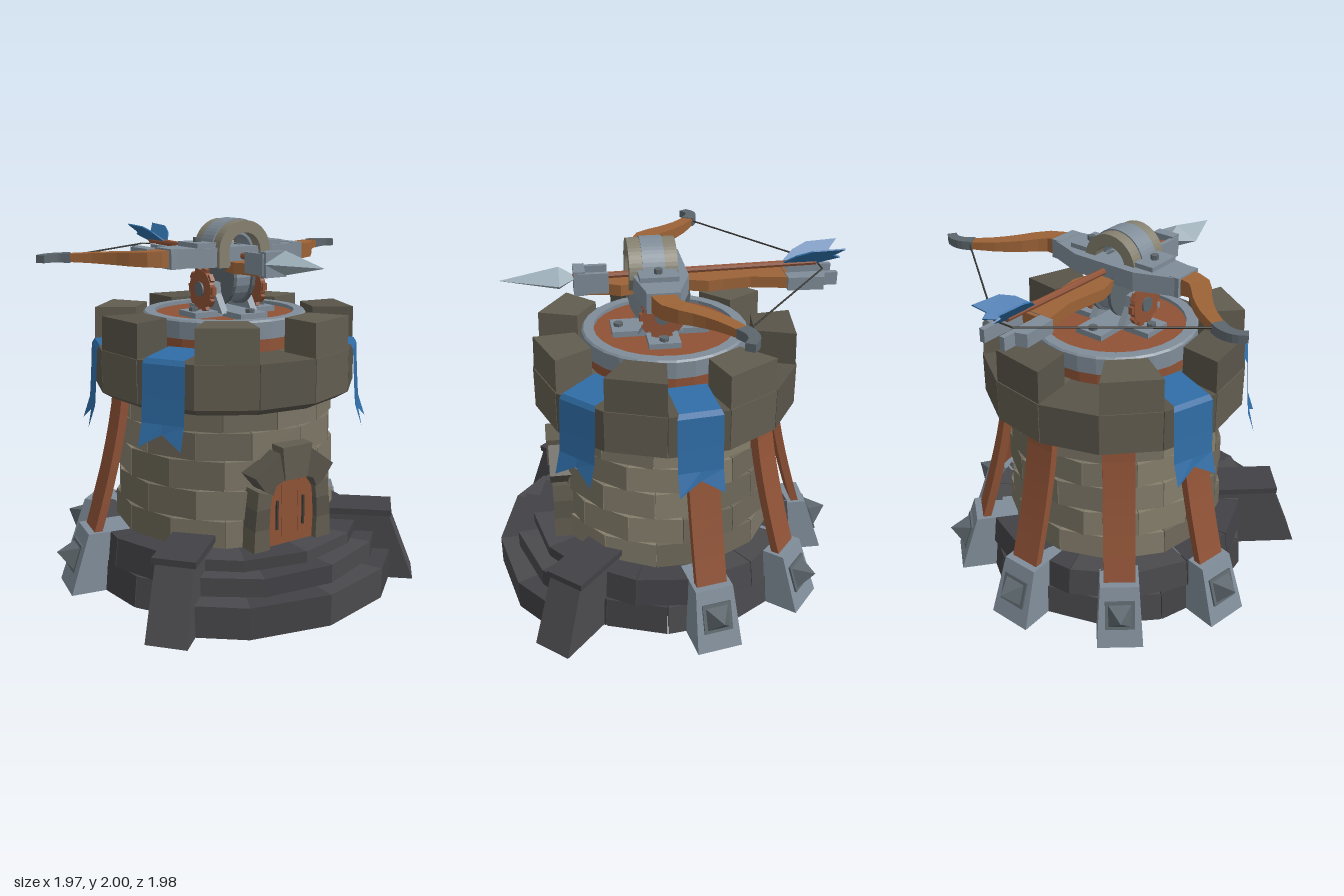
import * as THREE from 'three';

const mat = (color, side = THREE.FrontSide) => new THREE.MeshStandardMaterial({ color, side, flatShading: true });
const walls = [0x7a7464, 0x6e6859, 0x857e6c].map((c) => mat(c));
const rims = [0x625d50, 0x58544a].map((c) => mat(c));
const darks = [0x4a4a4e, 0x424246].map((c) => mat(c));
const metal = mat(0x7f8c98), paleMetal = mat(0x9fb0ba), steel = mat(0x5c666c), archStone = mat(0x85806f);
const wood = mat(0x9c6337), redWood = mat(0x8f5236), cloth = mat(0x2f6da6, THREE.DoubleSide), cord = mat(0x3c3a36);
const rad = THREE.MathUtils.degToRad;

function add(parent, name, geo, material, x = 0, y = 0, z = 0) {
  const m = new THREE.Mesh(geo, material);
  m.name = name;
  m.position.set(x, y, z);
  parent.add(m);
  return m;
}
const box = (p, name, m, w, h, d, x, y, z) => add(p, name, new THREE.BoxGeometry(w, h, d), m, x, y, z);

// moves every vertex by a rule, then renews the normals
function warp(geo, rule) {
  const p = geo.attributes.position;
  for (let i = 0; i < p.count; i++) p.setXYZ(i, ...rule(p.getX(i), p.getY(i), p.getZ(i)));
  geo.computeVertexNormals();
  return geo;
}
// ring block between two angles (degrees from the front), radii and heights
function sector(a0, a1, y0, y1, rIn, rBottom, rTop = rBottom) {
  return warp(new THREE.BoxGeometry(1, 1, 1), (x, y, z) => {
    const a = rad(x < 0 ? a0 : a1), r = z < 0 ? rIn : y < 0 ? rBottom : rTop;
    return [r * Math.sin(a), y < 0 ? y0 : y1, r * Math.cos(a)];
  });
}
function ring(parent, name, mats, n, offset, gap, ...dims) {
  const s = 360 / n;
  for (let i = 0; i < n; i++) add(parent, name, sector(offset + i * s + gap, offset + (i + 1) * s - gap, ...dims), mats[(i * 5 + (i >> 1)) % mats.length]);
}
// block with different width and outer reach at bottom and top
const taper = (wB, wT, y0, y1, zIn, zB, zT) => warp(new THREE.BoxGeometry(1, 1, 1), (x, y, z) =>
  [x * (y < 0 ? wB : wT), y < 0 ? y0 : y1, z < 0 ? zIn : y < 0 ? zB : zT]);
function extrude(points, depth) {
  const s = new THREE.Shape(points.map(([x, y]) => new THREE.Vector2(x, y)));
  return new THREE.ExtrudeGeometry(s, { depth, bevelEnabled: false });
}
// outline in x and z, mirrored across x, hanging down from its top
function plank(half, thick) {
  const all = [...half, ...half.slice().reverse().map(([x, z]) => [-x, z])];
  return extrude(all, thick).rotateX(Math.PI / 2);
}
function rod(parent, name, m, a, b, r, sides = 6) {
  const A = new THREE.Vector3(...a), B = new THREE.Vector3(...b);
  const mesh = add(parent, name, new THREE.CylinderGeometry(r, r, A.distanceTo(B), sides), m);
  mesh.position.copy(A).add(B).multiplyScalar(0.5);
  mesh.quaternion.setFromUnitVectors(new THREE.Vector3(0, 1, 0), B.sub(A).normalize());
}
function spoke(parent, name, degrees) {
  const g = new THREE.Group();
  g.name = name;
  g.rotation.y = rad(degrees);
  parent.add(g);
  return g;
}
// bow part following points in x and z, narrowing along its length
function limb(side, pts, w0, w1, h0, h1) {
  const c = new THREE.CatmullRomCurve3(pts.map(([x, z]) => new THREE.Vector3(x, 0, z)));
  return warp(new THREE.BoxGeometry(1, 1, 1, 8, 1, 1), (x, y, z) => {
    const t = side > 0 ? x + 0.5 : 0.5 - x, p = c.getPoint(t), d = c.getTangent(t);
    const w = z * (w0 + (w1 - w0) * t);
    return [side * (p.x - d.z * w), 1.805 + y * (h0 + (h1 - h0) * t), p.z + d.x * w];
  });
}

function buildTower(g) {
  add(g, 'floor', new THREE.CylinderGeometry(0.6, 0.6, 0.02, 28), darks[1], 0, 0.02, 0);
  add(g, 'wallCore', new THREE.CylinderGeometry(0.56, 0.58, 1.28, 28), rims[1], 0, 0.68, 0);
  ring(g, 'baseStone', darks, 14, 6.4, 0.2, 0, 0.17, 0.58, 0.78, 0.76);
  ring(g, 'baseStone', darks, 14, 19, 0.2, 0.17, 0.33, 0.55, 0.76, 0.74);
  const rows = [0.33, 0.48, 0.64, 0.8, 0.95, 1.09];
  for (let i = 0; i < 5; i++)
    ring(g, 'wallStone', walls, 13, -5 + i * 13.5, 0.2, rows[i] + 0.003, rows[i + 1] - 0.003, 0.5, 0.622 - i * 0.005, 0.618 - i * 0.005);
  // front steps
  [[0, 0.17, 0.985, 0], [0.17, 0.27, 0.88, 6], [0.27, 0.332, 0.78, 0]].forEach(([y0, y1, r, shift]) => {
    for (let i = -2; i < 2; i++) add(g, 'step', sector(i * 26 + shift * (i > -2), (i + 1) * 26 + shift * (i < 1), y0, y1, 0.6, r), darks[(i + 2) % 2]);
  });
  for (const s of [-1, 1]) {
    const b = spoke(g, 'stepButtress', s * 48.5);
    add(b, 'buttressBlock', taper(0.22, 0.2, 0, 0.37, 0.5, 1.09, 0.945), darks[0]);
    box(b, 'buttressCap', darks[1], 0.23, 0.035, 0.42, 0, 0.385, 0.747);
  }
  // parapet: corbel, band and alternating merlons
  for (let k = 0; k < 14; k++) {
    const a = 6.4 + k * 360 / 14, b = a + 360 / 14;
    add(g, 'corbel', sector(a, b, 1.06, 1.1, 0.5, 0.66, 0.725), rims[k % 2]);
    add(g, 'parapetStone', sector(a + 0.15, b - 0.15, 1.1, 1.33, 0.43, 0.725), rims[k % 2]);
    if (k % 2 === 0) add(g, 'merlon', sector(a, b, 1.33, 1.51, 0.49, 0.72, 0.715), rims[(k / 2) % 2]);
  }
}

function buildDoor(g) {
  for (let i = -1; i <= 1; i++) {
    const top = i ? 0.65 : 0.7, e = 0.052;
    const pts = [[-e, 0.33], [e, 0.33], [e, i > 0 ? 0.6 : 0.695], [0, i ? 0.675 : 0.7], [-e, i < 0 ? 0.6 : 0.695]];
    add(g, 'doorPlank', extrude(pts, 0.08), redWood, i * 0.106, 0, 0.545);
    if (i) box(g, 'doorHandle', cord, 0.012, 0.16, 0.015, i * 0.085, top - 0.15, 0.628);
  }
  const stones = [
    [[0.15, 0.33], [0.25, 0.33], [0.245, 0.45], [0.155, 0.45]],
    [[0.155, 0.45], [0.245, 0.45], [0.235, 0.56], [0.15, 0.56]],
    [[0.15, 0.56], [0.235, 0.56], [0.225, 0.66], [0.14, 0.63]],
    [[0.14, 0.63], [0.19, 0.66], [0.25, 0.74], [0.1, 0.85], [0.07, 0.7], [0.12, 0.68]],
  ];
  stones.forEach((pts, i) => {
    const mirrored = pts.map(([x, y]) => [-x, y]).reverse();
    for (const p of [pts, mirrored]) add(g, 'doorArchStone', extrude(p, 0.14), rims[i % 2], 0, 0, i === 3 ? 0.53 : 0.52);
  });
  add(g, 'keystone', extrude([[-0.07, 0.7], [0.07, 0.7], [0.1, 0.88], [-0.09, 0.88]], 0.15), rims[0], 0, 0, 0.53);
}

function buildStruts(g) {
  for (const a of [-140, -100.5, 100.5, 140, 180]) {
    const s = spoke(g, 'strut', a);
    add(s, 'strutBeam', warp(new THREE.BoxGeometry(0.17, 1, 0.045, 1, 8, 1), (x, y, z) => {
      const t = y + 0.5;
      return [x, 0.28 + 0.82 * t, z + 0.605 + 0.19 * Math.pow(1 - t, 1.35)];
    }), redWood);
    add(s, 'strutFoot', taper(0.25, 0.21, 0, 0.33, 0.6, 0.95, 0.84), metal);
    const spike = new THREE.Group();
    spike.name = 'footSpike';
    spike.position.set(0, 0.18, 0.892);
    spike.rotation.x = -0.32;
    s.add(spike);
    box(spike, 'spikePlate', steel, 0.16, 0.16, 0.02, 0, 0, 0);
    add(spike, 'spikePoint', new THREE.ConeGeometry(0.088, 0.1, 4).rotateY(Math.PI / 4).rotateX(Math.PI / 2), steel, 0, 0, 0.06);
  }
}

function buildBanners(g) {
  const path = [[0.46, 1.36], [0.71, 1.347], [0.725, 1.32], [0.735, 1.15], [0.745, 1.02], [0.785, 0.9]];
  for (const a of [45, 96.4, -57.8, -109.2]) {
    const geo = warp(new THREE.PlaneGeometry(0.24, 1, 2, 5), (x, y) => {
      const i = Math.round((0.5 - y) * 5), notch = i === 5 && Math.abs(x) < 0.01;
      return [x * (i < 2 ? 0.9 : 1), notch ? 0.97 : path[i][1], notch ? 0.755 : path[i][0]];
    });
    add(spoke(g, 'banner', a), 'bannerCloth', geo, cloth);
  }
}

function buildTurntable(g) {
  add(g, 'turntableDrum', new THREE.CylinderGeometry(0.43, 0.43, 0.2, 28), redWood, 0, 1.38, 0);
  const profile = [[0.385, 1.4], [0.45, 1.4], [0.45, 1.49], [0.44, 1.5], [0.385, 1.5], [0.385, 1.4]];
  add(g, 'turntableRim', new THREE.LatheGeometry(profile.map((p) => new THREE.Vector2(...p)), 28), metal);
  box(g, 'crossPlate', metal, 0.52, 0.03, 0.17, 0, 1.495, 0.03);
  box(g, 'crossPlate', metal, 0.17, 0.032, 0.52, 0, 1.495, 0.03);
  for (const [x, z] of [[0.22, 0], [-0.22, 0], [0, 0.22], [0, -0.22]])
    add(g, 'plateBolt', new THREE.CylinderGeometry(0.025, 0.025, 0.02, 8), steel, x, 1.52, z + 0.03);
  // cradle, elevation drum and hand wheels
  const across = (r, len) => new THREE.CylinderGeometry(r, r, len, 20).rotateZ(Math.PI / 2);
  for (const s of [-1, 1]) {
    add(g, 'cradleCheek', extrude([[-0.12, 1.5], [0.12, 1.5], [0.05, 1.6], [0.04, 1.66], [-0.04, 1.66], [-0.05, 1.6]], 0.04).rotateY(Math.PI / 2), metal, s * 0.095 - 0.02, 0, 0.035);
    add(g, 'handWheel', across(0.105, 0.03), redWood, s * 0.165, 1.625, 0.035);
    for (let i = 0; i < 10; i++) {
      const a = i * Math.PI / 5;
      box(g, 'wheelTooth', redWood, 0.025, 0.04, 0.04, s * 0.165, 1.625 + 0.1 * Math.sin(a), 0.035 + 0.1 * Math.cos(a)).rotation.x = -a;
    }
    add(g, 'wheelHub', across(0.04, 0.06), steel, s * 0.16, 1.625, 0.035);
  }
  add(g, 'axle', across(0.035, 0.32), metal, 0, 1.625, 0.035);
  const half = (r, w) => new THREE.CylinderGeometry(r, r, w, 20).rotateZ(Math.PI / 2);
  add(g, 'elevationDrum', half(0.145, 0.13), metal, 0, 1.69, 0.035);
  for (const s of [-1, 1]) add(g, 'drumFlange', half(0.165, 0.02), steel, s * 0.06, 1.695, 0.035);
}

function buildCrossbow(g) {
  add(g, 'stock', plank([[0.06, 0.42], [0.07, 0.3], [0.1, 0.24], [0.07, 0.15], [0.07, -0.12], [0.1, -0.22], [0.085, -0.3], [0.07, -0.45], [0.11, -0.66]], 0.06), wood, 0, 1.78, 0);
  add(g, 'tailCap', plank([[0.13, -0.64], [0.14, -0.83], [0.08, -0.85], [0.08, -0.92], [0.05, -0.92], [0.05, -0.64]], 0.07), metal, 0, 1.785, 0);
  for (const s of [-1, 1]) box(g, 'muzzleProng', metal, 0.025, 0.11, 0.16, s * 0.06, 1.785, 0.38);
  box(g, 'muzzleBlock', metal, 0.13, 0.13, 0.06, 0, 1.785, 0.45);
  // bow housing
  add(g, 'bowHousing', plank([[0.19, 0.18], [0.41, 0.14], [0.41, -0.02], [0.19, -0.1]], 0.1), metal, 0, 1.855, 0);
  for (const s of [-1, 1]) {
    box(g, 'housingBlock', metal, 0.12, 0.13, 0.2, s * 0.21, 1.815, 0.06);
    box(g, 'limbSocket', metal, 0.06, 0.105, 0.17, s * 0.39, 1.805, 0.06);
    add(g, 'housingBolt', new THREE.CylinderGeometry(0.022, 0.022, 0.03, 6), steel, s * 0.21, 1.89, 0.06);
    add(g, 'bowLimb', limb(s, [[0.4, 0.06], [0.5, 0.04], [0.6, -0.08], [0.7, -0.18], [0.82, -0.26]], 0.13, 0.06, 0.09, 0.04), wood);
    add(g, 'limbTip', limb(s, [[0.8, -0.25], [0.86, -0.28], [0.92, -0.28], [0.97, -0.25]], 0.07, 0.05, 0.05, 0.04), steel);
    rod(g, 'bowString', cord, [s * 0.81, 1.81, -0.27], [s * 0.06, 1.8, -0.84], 0.005, 5);
  }
  rod(g, 'bowString', cord, [-0.06, 1.8, -0.84], [0.06, 1.8, -0.84], 0.005, 5);
  // arch over the bolt
  const arch = (rOut, rIn, depth) => {
    const s = new THREE.Shape();
    s.moveTo(rOut, -0.08).absarc(0, 0, rOut, 0, Math.PI, false);
    s.lineTo(-rOut, -0.08).lineTo(-rIn, -0.08).absarc(0, 0, rIn, Math.PI, 0, true).lineTo(rIn, -0.08);
    return new THREE.ExtrudeGeometry(s, { depth, bevelEnabled: false, curveSegments: 12 }).translate(0, 1.83, 0.075 - depth / 2);
  };
  add(g, 'arch', arch(0.163, 0.1, 0.25), archStone);
  add(g, 'archBand', arch(0.17, 0.085, 0.115), metal);
  // loaded bolt
  rod(g, 'boltShaft', redWood, [0, 1.8, 0.5], [0, 1.82, -0.82], 0.018, 8);
  add(g, 'boltHead', new THREE.ConeGeometry(1, 0.31, 4).scale(0.13, 1, 0.062).rotateX(Math.PI / 2), paleMetal, 0, 1.8, 0.71);
  add(g, 'boltHeadBack', new THREE.ConeGeometry(1, 0.1, 4).scale(0.13, 1, 0.062).rotateX(-Math.PI / 2), paleMetal, 0, 1.8, 0.505);
  const vane = extrude([[0.62, 0], [0.7, 0.08], [0.78, 0.12], [0.95, 0.13], [0.9, 0.07], [0.94, 0.05], [0.83, 0]], 0.008).translate(0, 0, -0.004).rotateY(Math.PI / 2);
  for (const s of [-1, 1]) add(g, 'boltVane', vane, cloth, 0, 1.815, 0).rotation.z = s * 0.72;
}

export function createModel() {
  const model = new THREE.Group();
  model.name = 'crossbowTower';
  const parts = { tower: buildTower, door: buildDoor, struts: buildStruts, banners: buildBanners, turntable: buildTurntable, crossbow: buildCrossbow };
  for (const [name, build] of Object.entries(parts)) {
    const g = new THREE.Group();
    g.name = name;
    build(g);
    model.add(g);
  }
  return model;
}
